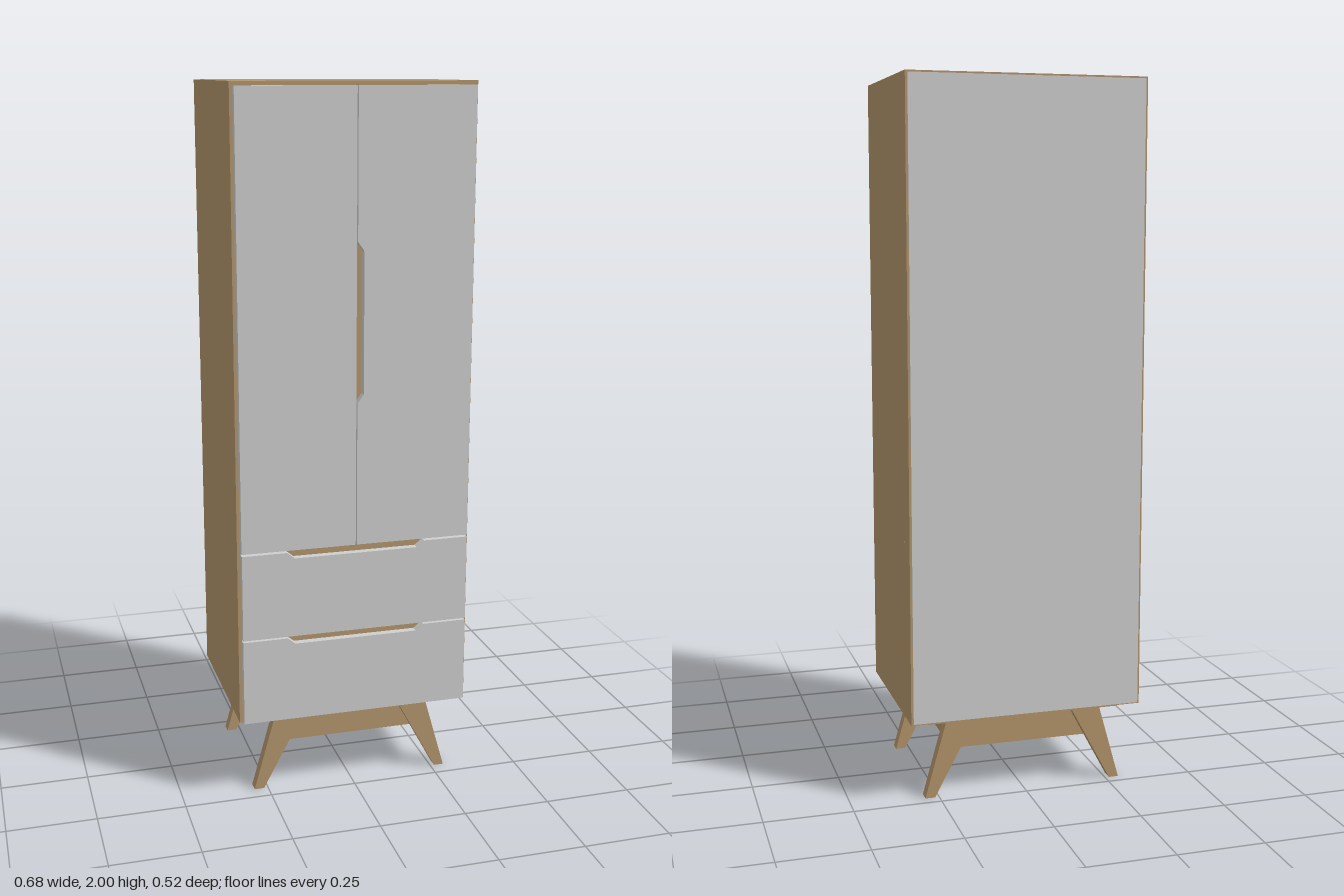
import * as THREE from 'three';

export function createModel() {
  const root = new THREE.Group();
  const wood = new THREE.MeshStandardMaterial({ color: 0xb4966c });
  wood.name = 'wood';
  const grey = new THREE.MeshStandardMaterial({ color: 0xcfcfcf });
  grey.name = 'grey lacquer';

  const add = (name, geometry, material) => {
    const mesh = new THREE.Mesh(geometry, material);
    mesh.name = name;
    root.add(mesh);
    return mesh;
  };
  // Box given by its limits on each axis
  const box = (name, [x0, x1], [y0, y1], [z0, z1], material = wood) => {
    const mesh = add(name, new THREE.BoxGeometry(x1 - x0, y1 - y0, z1 - z0), material);
    mesh.position.set((x0 + x1) / 2, (y0 + y1) / 2, (z0 + z1) / 2);
    return mesh;
  };
  // Flat board with an outline in x and y
  const board = (name, points, z0, z1, material) => {
    const shape = new THREE.Shape(points.map(([x, y]) => new THREE.Vector2(x, y)));
    const geometry = new THREE.ExtrudeGeometry(shape, { depth: z1 - z0, bevelEnabled: false });
    geometry.translate(0, 0, z0);
    return add(name, geometry, material);
  };

  // Cabinet carcass
  const W = 0.337, T = 0.011, Z = [-0.257, 0.237];
  box('leftSide', [W - T, W], [0.232, 2], Z);
  box('rightSide', [-W, -W + T], [0.232, 2], Z);
  box('topPanel', [-W + T, W - T], [2 - T, 2], Z);
  box('bottomPanel', [-W + T, W - T], [0.232, 0.232 + T], Z);
  box('middleShelf', [-W + T, W - T], [0.728, 0.745], Z);
  box('drawerRail', [-W + T, W - T], [0.478, 0.49], [0.2, 0.237]);
  box('backPanel', [-0.331, 0.331], [0.236, 1.995], [-0.261, -0.257], grey);

  // Doors, the left one with a grip cut-out
  const front = [0.237, 0.259];
  box('rightDoor', [-0.329, -0.003], [0.741, 1.989], front, grey);
  board('leftDoor', [
    [0, 0.741], [0.328, 0.741], [0.328, 1.989], [0, 1.989],
    [0, 1.585], [0.018, 1.56], [0.018, 1.17], [0, 1.145],
  ], ...front, grey);
  box('leftDoorTopEdge', [0, 0.328], [1.989, 1.99], front);
  box('doorGripBacking', [-0.012, 0.03], [1.05, 1.6], [0.222, 0.2375]);

  // Drawer fronts with grip cut-outs in their top edges
  for (const [y0, y1] of [[0.236, 0.482], [0.487, 0.735]]) {
    board('drawerFront', [
      [-0.328, y0], [0.328, y0], [0.328, y1], [0.2, y1],
      [0.178, y1 - 0.018], [-0.178, y1 - 0.018], [-0.2, y1], [-0.328, y1],
    ], ...front, grey);
    box('drawerGripBacking', [-0.21, 0.21], [y1 - 0.03, y1], [0.222, 0.2375]);
  }

  // Plinth board and apron frame
  box('plinth', [-0.282, 0.282], [0.218, 0.232], [-0.225, 0.21]);
  box('frontApron', [-0.205, 0.205], [0.128, 0.218], [0.157, 0.172]);
  box('backApron', [-0.205, 0.205], [0.128, 0.218], [-0.187, -0.172]);
  for (const s of [-1, 1]) {
    const x = [s * 0.205, s * 0.19].sort((a, b) => a - b);
    box('sideApron', x, [0.128, 0.218], [-0.172, 0.157]);
    // Splayed, tapered legs
    for (const z of [-0.22, 0.172]) {
      board('leg', [
        [s * 0.145, 0.218], [s * 0.262, 0], [s * 0.29, 0], [s * 0.229, 0.218],
      ], z, z + 0.033, wood);
    }
  }

  // Flush dowel caps in the top and the sides
  for (const s of [-1, 1]) {
    for (const z of [-0.187, 0.168]) {
      const cap = new THREE.CylinderGeometry(0.0045, 0.0045, 0.001, 16);
      add('topDowel', cap, wood).position.set(s * 0.328, 2, z);
      const side = add('sideDowel', cap, wood);
      side.rotation.z = Math.PI / 2;
      side.position.set(s * W, 0.737, z);
    }
  }
  return root;
}
